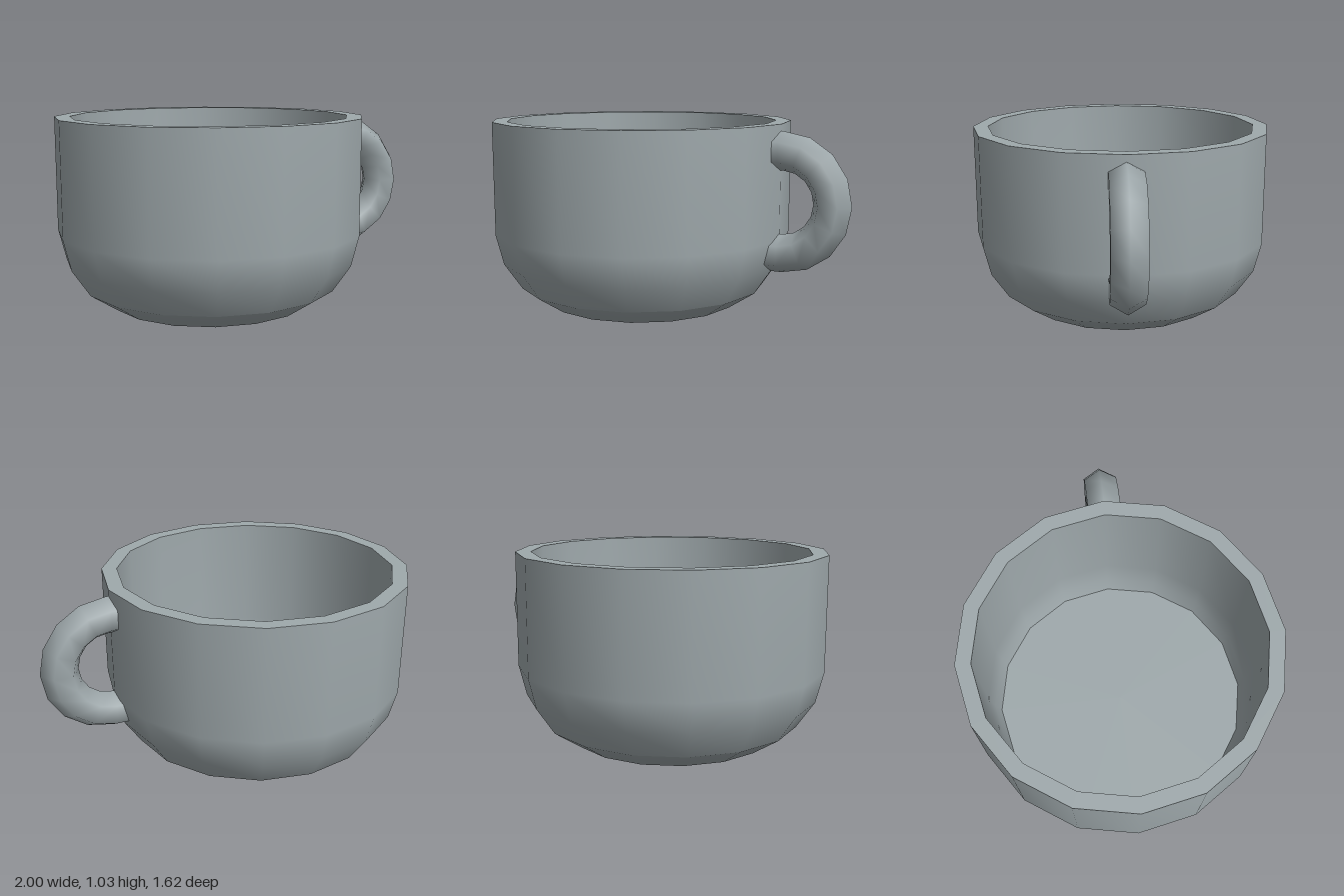
import * as THREE from 'three';

const SIDES = 16;
const CUP_X = -0.19;

export function createModel() {
  const group = new THREE.Group();
  group.name = 'cup';
  const glaze = new THREE.MeshStandardMaterial({ color: 0x9fa9ac });
  glaze.name = 'grey glaze';

  // Each profile is smooth in itself; separate profiles meet at sharp edges
  const addLathe = (name, profile) => {
    const points = profile.map(([r, y]) => new THREE.Vector2(r, y));
    const mesh = new THREE.Mesh(new THREE.LatheGeometry(points, SIDES), glaze);
    mesh.name = name;
    mesh.position.x = CUP_X;
    group.add(mesh);
  };
  addLathe('base', [[0, 0], [0.36, 0], [0.53, 0.035], [0.675, 0.13]]);
  addLathe('outerWall', [[0.675, 0.13], [0.77, 0.27], [0.81, 0.43], [0.81, 1.03]]);
  addLathe('rim', [[0.81, 1.03], [0.73, 1.03]]);
  addLathe('innerWall', [[0.73, 1.03], [0.725, 0.43], [0.705, 0.29], [0.68, 0.2]]);
  addLathe('floor', [[0.68, 0.2], [0, 0.2]]);

  // Handle: half a six-sided ring, its two end rings pulled straight into the wall
  const steps = 10;
  const arc = Math.PI * steps / 8;
  const ring = new THREE.TorusGeometry(0.265, 0.1, 6, steps, arc);
  ring.rotateZ(-arc / 2);
  const pos = ring.attributes.position;
  const normal = ring.attributes.normal;
  for (let k = 0; k < pos.count; k++) {
    const i = k % (steps + 1);
    if (i !== 0 && i !== steps) continue;
    const n = i === 0 ? k + 1 : k - 1;
    pos.setXYZ(k, -0.06, pos.getY(n), pos.getZ(n));
    normal.setXYZ(k, normal.getX(n), normal.getY(n), normal.getZ(n));
  }
  const handle = new THREE.Mesh(ring, glaze);
  handle.name = 'handle';
  handle.position.set(0.635, 0.63, 0.005);
  group.add(handle);

  return group;
}
